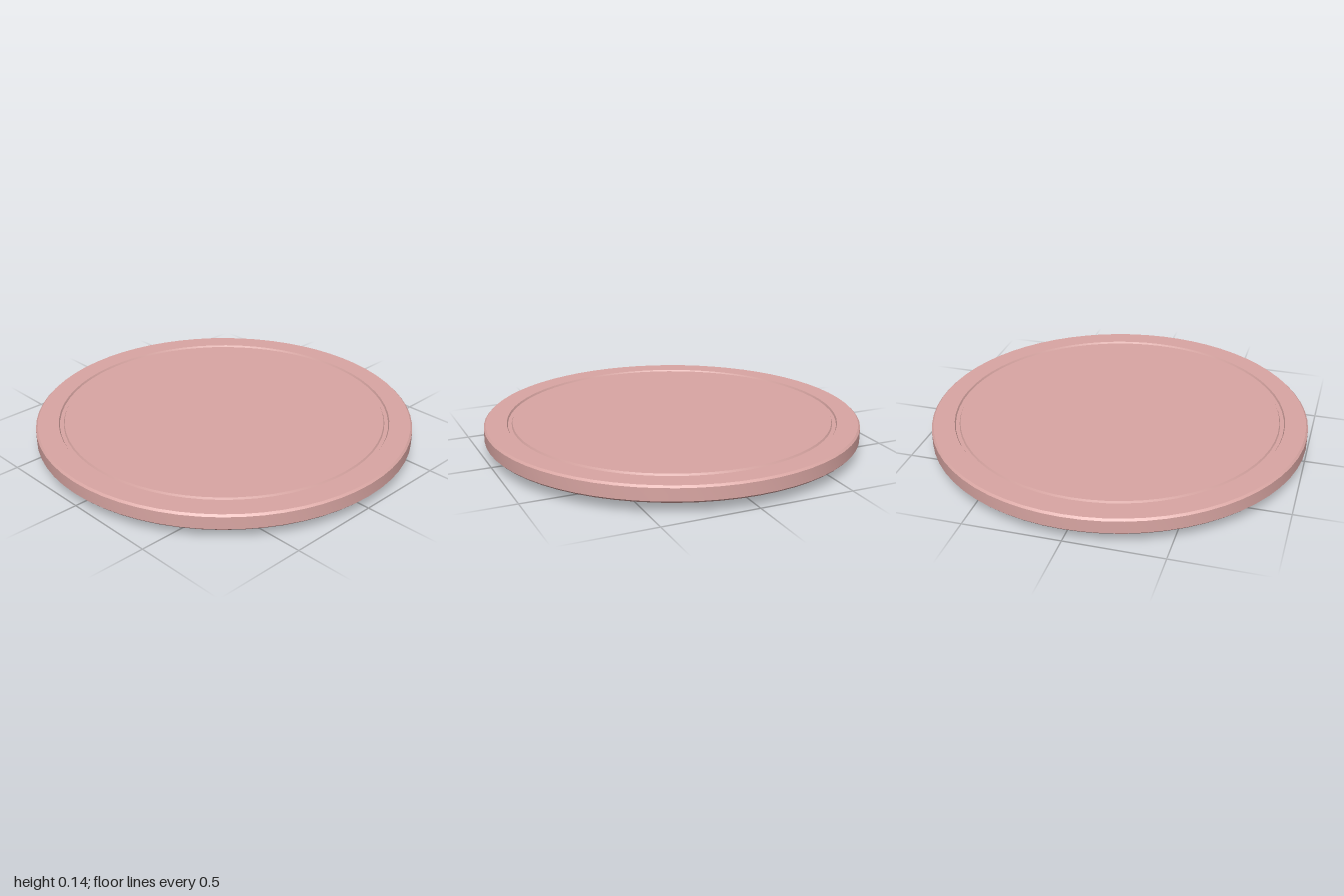
import * as THREE from 'three';
import { toCreasedNormals } from 'three/addons/utils/BufferGeometryUtils.js';

const pink = new THREE.MeshStandardMaterial({ name: 'dusty pink', color: 0xd9a6a3 });
const red = new THREE.MeshStandardMaterial({ name: 'brick red', color: 0xc86b62 });

// Turned part from [radius, height] pairs, listed bottom to top
function turned(name, profile, material) {
  const points = profile.map(([r, y]) => new THREE.Vector2(r, y));
  const geometry = toCreasedNormals(new THREE.LatheGeometry(points, 64), 0.5);
  const mesh = new THREE.Mesh(geometry, material);
  mesh.name = name;
  return mesh;
}

export function createModel() {
  const model = new THREE.Group();
  model.name = 'turntable';

  // Foot with a chamfered upper edge
  model.add(turned('foot', [
    [0, 0], [0.75, 0], [0.75, 0.02], [0.73, 0.035], [0, 0.035],
  ], red));

  // Bearing between foot and plate
  model.add(turned('bearing', [
    [0, 0.03], [0.31, 0.03], [0.31, 0.065], [0, 0.065],
  ], pink));

  // Plate with bevelled rim and a shallow ring groove in the top
  model.add(turned('plate', [
    [0, 0.06], [0.99, 0.06], [1, 0.07], [1, 0.135], [0.99, 0.145],
    [0.88, 0.145], [0.875, 0.135], [0.855, 0.135], [0.85, 0.145], [0, 0.145],
  ], pink));

  return model;
}
